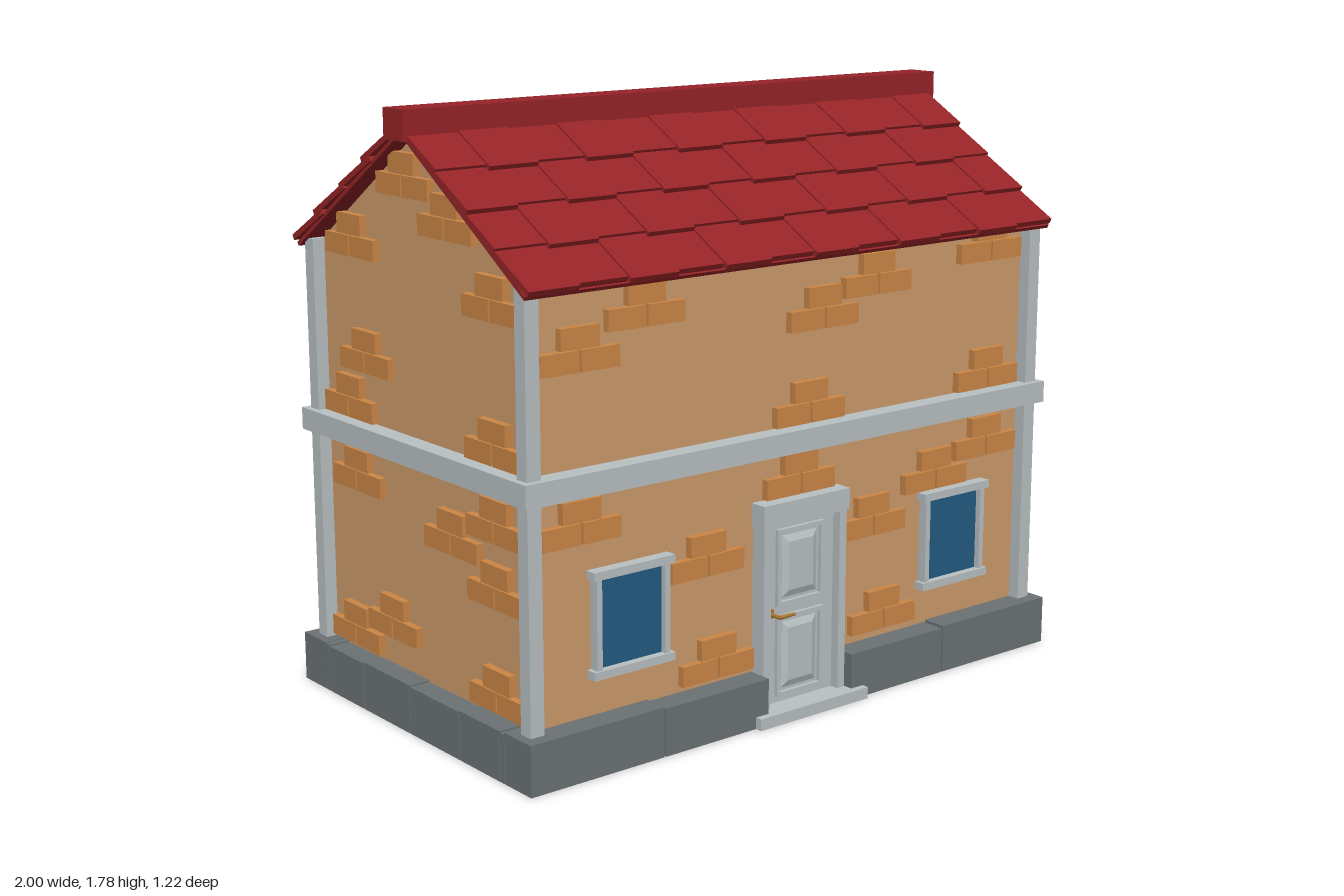
import * as THREE from 'three';

const mat = (name, color, side = THREE.FrontSide) => {
  const m = new THREE.MeshStandardMaterial({ color, side });
  m.name = name;
  return m;
};

export function createModel() {
  const plaster = mat('plaster', 0xcd9b6c, THREE.DoubleSide);
  const brickMat = mat('brick', 0xcc8746);
  const trim = mat('pale trim', 0xbac2c3);
  const stone = mat('stone', 0x6c7375);
  const tileMat = mat('roof red', 0x962427);
  const glass = mat('window blue', 0x235b82);
  const brass = mat('brass', 0xb07a34);

  const house = new THREE.Group();
  house.name = 'house';
  house.position.z = -0.007;

  const add = (parent, name, geo, material, x = 0, y = 0, z = 0) => {
    const m = new THREE.Mesh(geo, material);
    m.name = name;
    m.position.set(x, y, z);
    parent.add(m);
    return m;
  };
  // box given by its min and max on each axis
  const box = (parent, name, material, x0, x1, y0, y1, z0, z1) =>
    add(parent, name, new THREE.BoxGeometry(x1 - x0, y1 - y0, z1 - z0), material,
      (x0 + x1) / 2, (y0 + y1) / 2, (z0 + z1) / 2);

  const W = 0.93, D = 0.515, EAVE = 1.36, APEX = 1.705;

  // one wall facing local +z, with its surface at local z = 0
  const wall = (name, half, dist, angle, gable) => {
    const pivot = new THREE.Group();
    pivot.name = name;
    pivot.rotation.y = angle;
    house.add(pivot);
    const face = new THREE.Group();
    face.name = name + 'Face';
    face.position.z = dist;
    pivot.add(face);
    const s = new THREE.Shape();
    s.moveTo(-half, 0.03);
    s.lineTo(half, 0.03);
    s.lineTo(half, EAVE);
    if (gable) s.lineTo(0, APEX);
    s.lineTo(-half, EAVE);
    add(face, name + 'Panel', new THREE.ShapeGeometry(s), plaster);
    return face;
  };
  const front = wall('frontWall', W, D, 0, false);
  const back = wall('backWall', W, D, Math.PI, false);
  const left = wall('gableWallWithWindow', D, W, Math.PI / 2, true);
  const right = wall('plainGableWall', D, W, -Math.PI / 2, true);

  // clusters of three exposed bricks: [centre, bottom]
  const brickGeo = new THREE.BoxGeometry(0.127, 0.06, 0.045);
  const bricks = (face, list) => list.forEach(([x, y]) => {
    [[-0.067, 0.03], [0.067, 0.03], [0, 0.093]].forEach(([dx, dy]) =>
      add(face, 'brick', brickGeo, brickMat, x + dx, y + dy, 0.0005));
  });
  bricks(front, [[-0.78, 1.115], [-0.557, 1.21], [0.09, 1.125], [0.3, 1.2], [0.772, 1.25],
    [0.04, 0.855], [0.772, 0.855], [-0.78, 0.645], [0.005, 0.65], [0.772, 0.64], [0.556, 0.57],
    [-0.342, 0.47], [0.297, 0.47], [-0.303, 0.16], [0.346, 0.17]]);
  bricks(back, [[-0.76, 1.21], [-0.02, 1.2], [0.41, 1.17], [-0.75, 0.855], [-0.04, 0.855],
    [-0.75, 0.645], [-0.55, 0.565], [-0.04, 0.64], [0.79, 0.64], [-0.75, 0.16], [-0.12, 0.19],
    [0.68, 0.2]]);
  const gableBricks = [[-0.045, 1.53], [0.163, 1.435], [-0.333, 1.33], [0.37, 1.245], [-0.27, 1.0],
    [-0.365, 0.855], [0.37, 0.855], [-0.333, 0.64], [0.37, 0.64], [0.158, 0.56], [0.37, 0.457],
    [-0.158, 0.235], [-0.365, 0.16], [0.37, 0.16]];
  bricks(left, gableBricks);
  bricks(right, gableBricks);

  // windows
  const windowAt = (face, x, y, scale = 1) => {
    const g = new THREE.Group();
    g.name = 'window';
    g.position.set(x, y, 0);
    g.scale.set(scale, scale, 1);
    face.add(g);
    box(g, 'windowPane', glass, -0.112, 0.112, -0.13, 0.13, 0.004, 0.012);
    [-1, 1].forEach(s => {
      add(g, 'windowJamb', new THREE.BoxGeometry(0.018, 0.27, 0.03), trim, s * 0.118, 0, 0.015);
      add(g, 'windowRail', new THREE.BoxGeometry(0.278, 0.024, 0.036), trim, 0, s * 0.141, 0.018);
    });
  };
  windowAt(front, -0.612, 0.41);
  windowAt(front, 0.637, 0.41);
  windowAt(back, 0.66, 1.12);
  windowAt(left, 0, 1.12, 1.05);

  // corner posts
  [-1, 1].forEach(sx => [-1, 1].forEach(sz =>
    add(house, 'cornerPost', new THREE.BoxGeometry(0.045, 1.26, 0.045), trim,
      sx * 0.946, 0.73, sz * 0.531)));

  // band between the floors
  [-1, 1].forEach(s => {
    add(house, 'floorBandLong', new THREE.BoxGeometry(1.975, 0.066, 0.065), trim, 0, 0.818, s * 0.542);
    add(house, 'floorBandShort', new THREE.BoxGeometry(0.062, 0.066, 1.02), trim, s * 0.9565, 0.818, 0);
  });

  // foundation ring of stone blocks
  const gap = 0.003, zOut = 0.593, zIn = 0.47;
  const xs = [-1, -0.543, -0.16, 0.16, 0.543, 1];
  for (let i = 0; i < 5; i++) {
    const h = i % 4 === 0 ? 0.147 : 0.141;
    if (i !== 2) box(house, 'foundationFront', stone, xs[i] + gap, xs[i + 1] - gap, 0, h, zIn, zOut);
    box(house, 'foundationBack', stone, xs[i] + gap, xs[i + 1] - gap, 0, h, -zOut, -zIn);
  }
  const zs = [-zIn, -0.445, -0.253, 0, 0.255, 0.45, zIn];
  [-1, 1].forEach(s => {
    for (let i = 0; i < 6; i++) {
      const h = i % 2 ? 0.141 : 0.145;
      add(house, 'foundationSide', new THREE.BoxGeometry(0.125, h, zs[i + 1] - zs[i] - gap), stone,
        s * 0.935, h / 2, (zs[i] + zs[i + 1]) / 2);
    }
  });

  // door with frame, raised panels, handle and step
  const door = new THREE.Group();
  door.name = 'door';
  door.position.z = D;
  house.add(door);
  box(door, 'doorLeaf', trim, -0.132, 0.132, 0.035, 0.585, -0.005, 0.022);
  [-1, 1].forEach(s =>
    add(door, 'doorJamb', new THREE.BoxGeometry(0.027, 0.55, 0.06), trim, s * 0.146, 0.31, 0.02));
  box(door, 'doorLintel', trim, -0.165, 0.165, 0.583, 0.647, -0.005, 0.056);
  box(door, 'doorStep', trim, -0.21, 0.21, 0, 0.035, -0.03, 0.1);
  [[0.055, 0.3], [0.33, 0.56]].forEach(([y0, y1]) => {
    // moulding around each panel
    const rect = (P, a, b, c, d) => {
      const p = new P();
      p.moveTo(a, c); p.lineTo(b, c); p.lineTo(b, d); p.lineTo(a, d); p.closePath();
      return p;
    };
    const ring = rect(THREE.Shape, -0.092, 0.086, y0, y1);
    ring.holes.push(rect(THREE.Path, -0.08, 0.074, y0 + 0.012, y1 - 0.012));
    add(door, 'doorMoulding', new THREE.ExtrudeGeometry(ring, { depth: 0.012, bevelEnabled: false }),
      trim, 0, 0, 0.022);
    const panel = rect(THREE.Shape, -0.05, 0.044, y0 + 0.042, y1 - 0.042);
    add(door, 'doorPanel', new THREE.ExtrudeGeometry(panel, {
      depth: 0.001, bevelThickness: 0.008, bevelSize: 0.02, bevelSegments: 1 }), trim, 0, 0, 0.024);
  });
  box(door, 'handlePlate', brass, -0.122, -0.104, 0.298, 0.325, 0.022, 0.03);
  const stem = add(door, 'handleStem', new THREE.CylinderGeometry(0.006, 0.006, 0.04, 8), brass,
    -0.113, 0.311, 0.048);
  stem.rotation.x = Math.PI / 2;
  const lever = add(door, 'handleLever', new THREE.CylinderGeometry(0.005, 0.007, 0.06, 8), brass,
    -0.085, 0.311, 0.066);
  lever.rotation.z = -Math.PI / 2;

  // roof slopes: a thin deck under four rows of lapped tiles
  const pitch = Math.atan(0.655), tileW = 1.965 / 12;
  const tileGeo = new THREE.BoxGeometry(tileW - 0.002, 0.017, 0.195);
  [0, Math.PI].forEach(turn => {
    const side = new THREE.Group();
    side.name = 'roofSide';
    side.rotation.y = turn;
    house.add(side);
    const slope = new THREE.Group();
    slope.name = 'roofSlope';
    slope.position.y = 1.722;
    slope.rotation.x = pitch;
    side.add(slope);
    box(slope, 'roofDeck', tileMat, -0.98, 0.98, -0.012, 0, 0, 0.69);
    for (let r = 0; r < 4; r++) {
      for (let c = 0; c < 12; c++) {
        const odd = (c + r) % 2;
        const x = (c - 5.5) * tileW - (turn ? -0.006 : 0.006);
        const t = add(slope, 'roofTile', tileGeo, tileMat, x, 0.01 + odd * 0.004,
          0.108 + r * 0.162 + odd * 0.012);
        t.rotation.x = -0.07;
      }
    }
  });
  box(house, 'ridgeBeam', tileMat, -1, 1, 1.692, 1.778, -0.05, 0.05);

  const model = new THREE.Group();
  model.name = 'twoStoreyHouse';
  model.add(house);
  return model;
}
